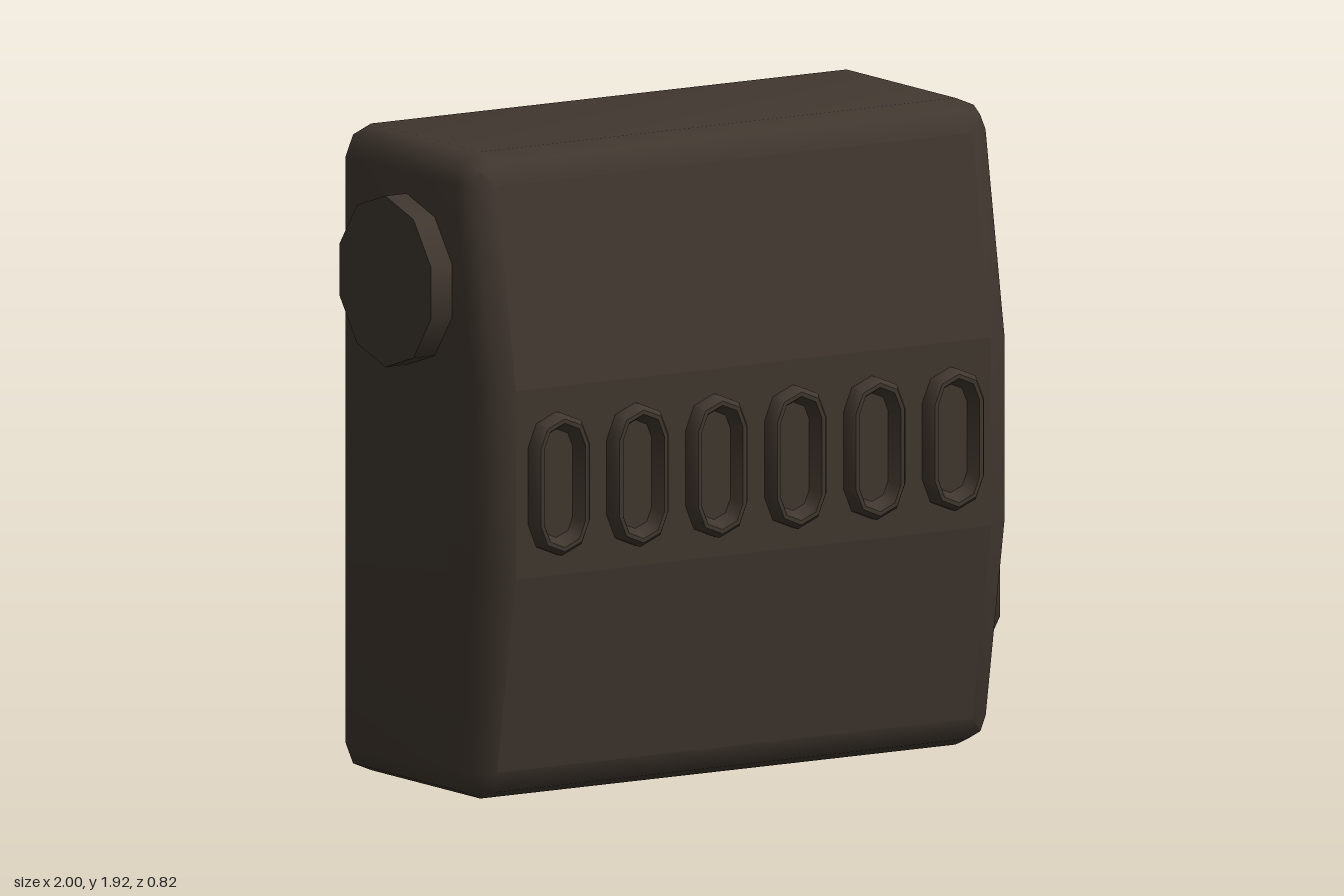
import * as THREE from 'three';
import { toCreasedNormals } from 'three/addons/utils/BufferGeometryUtils.js';

const HALF = 0.925, TOP = 1.925, R = 0.09, BAND = [0.68, 1.24];

// front surface: flat middle band, sloping back above and below
function faceZ(y) {
  const c = THREE.MathUtils.clamp(y, R, TOP - R);
  return 0.36 - 0.168 * Math.max(0, c - BAND[1], BAND[0] - c);
}

// joins rings of equal length, each anticlockwise from the front
function loft(rings, crease) {
  const n = rings[0].length, index = [];
  for (let k = 0; k < rings.length - 1; k++) {
    for (let i = 0; i < n; i++) {
      const a = k * n + i, b = k * n + (i + 1) % n;
      index.push(a, b, b + n, a, b + n, a + n);
    }
  }
  const geo = new THREE.BufferGeometry();
  geo.setAttribute('position', new THREE.Float32BufferAttribute(rings.flat(2), 3));
  geo.setIndex(index);
  return toCreasedNormals(geo, crease);
}

// rounded case outline, inset from the sides
function caseRing(inset, zOf) {
  const pts = [], r = R - inset;
  const corner = (cx, cy, start) => {
    for (let i = 0; i <= 2; i++) {
      const a = start + i * Math.PI / 4;
      pts.push([cx + r * Math.cos(a), cy + r * Math.sin(a)]);
    }
  };
  const x = HALF - R, hi = TOP - R;
  corner(x, hi, 0);
  corner(-x, hi, Math.PI / 2);
  pts.push([-HALF + inset, BAND[1]], [-HALF + inset, BAND[0]]);
  corner(-x, R, Math.PI);
  corner(x, R, Math.PI * 1.5);
  pts.push([HALF - inset, BAND[0]], [HALF - inset, BAND[1]]);
  return pts.map(([px, py]) => [px, py, zOf(py)]);
}

// upright stadium outline
function slotRing(w, h, z) {
  const pts = [];
  for (const s of [1, -1]) {
    for (let i = 0; i <= 4; i++) {
      const a = i * Math.PI / 4;
      pts.push([s * w * Math.cos(a), s * (h - w + w * Math.sin(a)), z]);
    }
  }
  return pts;
}

export function createModel() {
  const model = new THREE.Group();
  const darkBrown = new THREE.MeshStandardMaterial({ color: 0x40372f, side: THREE.DoubleSide });
  darkBrown.name = 'darkBrown';
  const add = (geo, name, x = 0, y = 0, z = 0) => {
    const mesh = new THREE.Mesh(geo, darkBrown);
    mesh.name = name;
    mesh.position.set(x, y, z);
    model.add(mesh);
  };

  // open-backed case with rounded front edges
  const k = R * (1 - Math.SQRT1_2);
  add(loft([
    caseRing(0, () => -0.41),
    caseRing(0, y => faceZ(y) - R),
    caseRing(k, y => faceZ(y) - k),
    caseRing(R, faceZ),
  ], 0.9), 'caseShell');

  // three flat front panels
  const levels = [R, ...BAND, TOP - R], w = HALF - R;
  for (let i = 0; i < 3; i++) {
    const panel = new THREE.PlaneGeometry(2 * w, 1);
    const pos = panel.attributes.position;
    for (let j = 0; j < 4; j++) {
      const y = pos.getY(j) > 0 ? levels[i + 1] : levels[i];
      pos.setY(j, y);
      pos.setZ(j, faceZ(y));
    }
    panel.computeVertexNormals();
    add(panel, ['lowerPanel', 'middlePanel', 'upperPanel'][i]);
  }

  // raised slots with recesses tapering to a point inside the case
  const slot = loft([
    slotRing(0.1, 0.213, -0.015),
    slotRing(0.1, 0.213, 0.027),
    slotRing(0.085, 0.198, 0.046),
    slotRing(0.072, 0.185, 0.046),
    slotRing(0.062, 0.175, 0.03),
    slotRing(0, 0, -0.37),
  ], 0.9);
  for (let i = 0; i < 6; i++) add(slot, 'slot', (i - 2.5) * 0.277, 0.953, 0.36);

  // ten-sided side plugs
  const plug = new THREE.CylinderGeometry(0.255, 0.255, 0.08, 10);
  plug.rotateZ(Math.PI / 2).rotateX(Math.PI / 2);
  add(plug, 'leftPlug', 0.96, 0.443, -0.085);
  add(plug, 'rightPlug', -0.96, 1.518, -0.085);

  return model;
}
